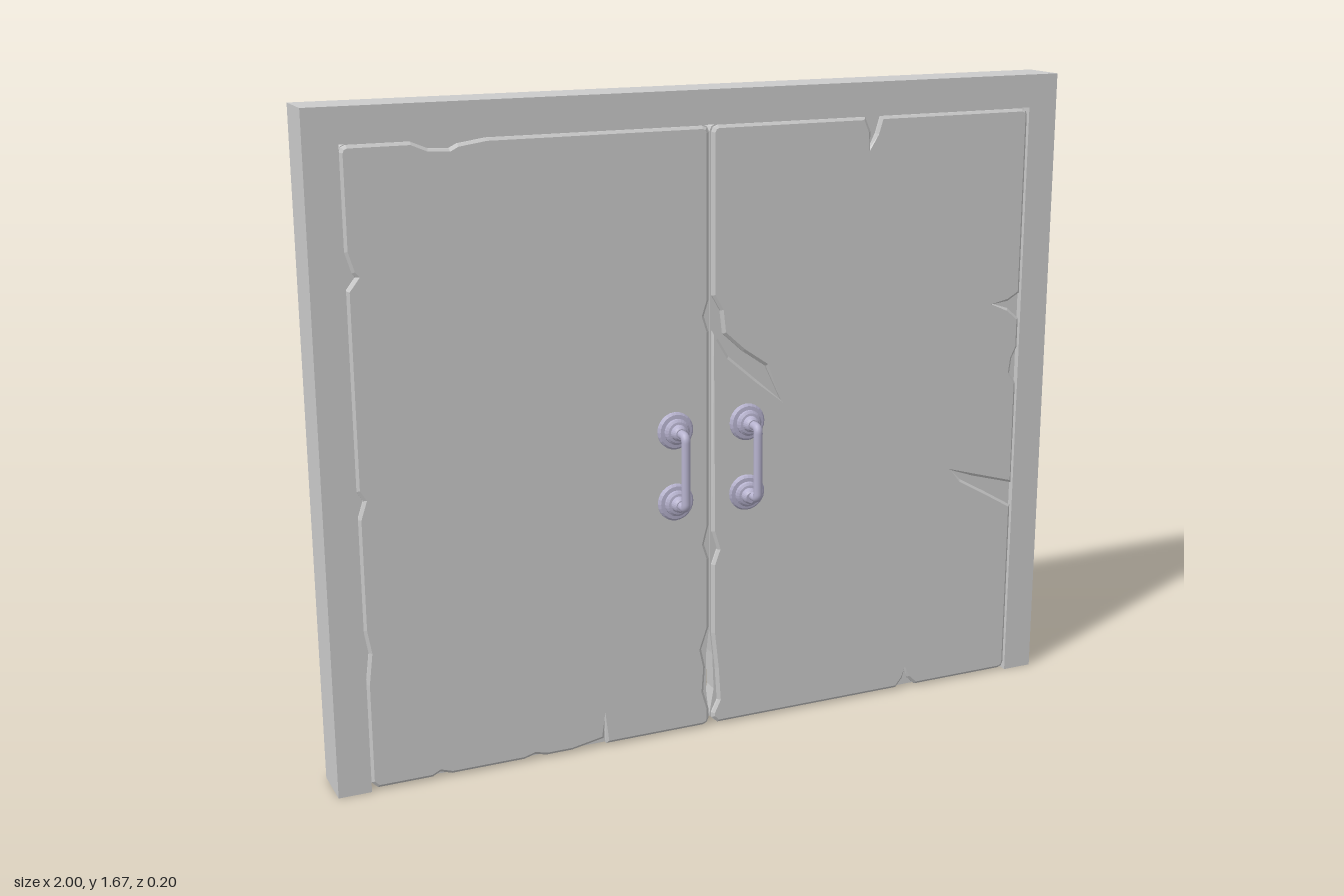
import * as THREE from 'three';

const stone = new THREE.MeshStandardMaterial({ color: 0xcccccc, flatShading: true });
const metal = new THREE.MeshStandardMaterial({ color: 0xb8b4d0 });

function add(parent, name, geometry, material) {
  const mesh = new THREE.Mesh(geometry, material);
  mesh.name = name;
  parent.add(mesh);
  return mesh;
}

// Slab outline, counter-clockwise, with chips cut into each edge
function slabShape(x0, x1, y0, y1, chips = {}, r = 0.016) {
  const s = new THREE.Shape();
  const cut = (edge) => (chips[edge] || []).forEach(([x, y]) => s.lineTo(x, y));
  const corner = (x, y, a) => {
    for (let i = 0; i <= 2; i++) {
      const t = a + i * Math.PI / 4;
      s.lineTo(x + r * Math.cos(t), y + r * Math.sin(t));
    }
  };
  s.moveTo(x0 + r, y0);
  cut('bottom');
  corner(x1 - r, y0 + r, -Math.PI / 2);
  cut('right');
  corner(x1 - r, y1 - r, 0);
  cut('top');
  corner(x0 + r, y1 - r, Math.PI / 2);
  cut('left');
  s.lineTo(x0, y0 + r);
  return s;
}

// Bevelled or plain slab between two depths
function slab(shape, z0, z1, bevel) {
  const b = bevel ? 0.005 : 0;
  const g = new THREE.ExtrudeGeometry(shape, {
    depth: z1 - z0 - 2 * b, bevelEnabled: bevel, bevelThickness: b,
    bevelSize: 0.007, bevelOffset: -0.007, bevelSegments: 1, curveSegments: 4,
  });
  return g.translate(0, 0, z0 + b);
}

// A door is a core between two chipped skins, so that each gouge has a floor
function door(name, x0, x1, core, front, back, hole) {
  const g = new THREE.Group();
  g.name = name;
  const inner = x0 < 0 ? [x0, x1 + 0.004] : [x0 - 0.004, x1];
  add(g, name + 'Core', slab(slabShape(...inner, 0.008, 1.584, core), -0.032, 0.011, false), stone);
  add(g, name + 'FrontSkin', slab(slabShape(x0, x1, 0.006, 1.582, front), 0.003, 0.022, true), stone);
  const backShape = slabShape(x0, x1, 0.006, 1.584, back);
  if (hole) backShape.holes.push(new THREE.Path(hole.map((p) => new THREE.Vector2(...p))));
  add(g, name + 'BackSkin', slab(backShape, -0.041, -0.024, true), stone);
  return g;
}

// Pull handle: two stepped rosettes joined by a bent bar
function handle(name, x, tilt) {
  const g = new THREE.Group();
  g.name = name;
  const profile = [[0, 0], [0.048, 0], [0.048, 0.008], [0.043, 0.012], [0.033, 0.013],
    [0.033, 0.021], [0.027, 0.025], [0.021, 0.026], [0.019, 0.038], [0.014, 0.043], [0, 0.043]];
  const pts = [];
  profile.forEach(([a, b]) => pts.push(new THREE.Vector2(a, b)));
  for (const y of [0.825, 0.637]) {
    const rosette = add(g, 'rosette', new THREE.LatheGeometry(pts, 24).rotateX(Math.PI / 2),
      new THREE.MeshStandardMaterial({ color: 0xb8b4d0, flatShading: true }));
    rosette.position.set(x, y, 0.02);
    if (y < 0.7) rosette.rotation.set(tilt, -tilt, 0);
  }
  const V = (y, z) => new THREE.Vector3(x, y, z);
  const path = new THREE.CurvePath();
  path.add(new THREE.LineCurve3(V(0.825, 0.04), V(0.825, 0.076)));
  path.add(new THREE.QuadraticBezierCurve3(V(0.825, 0.076), V(0.825, 0.09), V(0.811, 0.09)));
  path.add(new THREE.LineCurve3(V(0.811, 0.09), V(0.651, 0.09)));
  path.add(new THREE.QuadraticBezierCurve3(V(0.651, 0.09), V(0.637, 0.09), V(0.637, 0.076)));
  path.add(new THREE.LineCurve3(V(0.637, 0.076), V(0.637, 0.04)));
  add(g, 'bar', new THREE.TubeGeometry(path, 72, 0.0115, 12), metal);
  return g;
}

export function createModel() {
  const model = new THREE.Group();
  model.name = 'doubleDoor';

  // Door frame: one inverted U
  const u = [[-1, 0], [-0.917, 0], [-0.917, 1.585], [0.917, 1.585], [0.917, 0], [1, 0], [1, 1.67], [-1, 1.67]];
  const frame = new THREE.Shape(u.map((p) => new THREE.Vector2(...p)));
  add(model, 'frame', slab(frame, -0.1, 0.025, false), stone);

  // Door on the -x side
  model.add(door('rightDoor', -0.915, -0.005,
    { right: [[-0.001, 0.03], [-0.009, 0.1], [-0.009, 0.2], [-0.001, 0.27]] },
    {
      bottom: [[-0.76, 0.006], [-0.74, 0.016], [-0.71, 0.006], [-0.52, 0.006], [-0.49, 0.014], [-0.46, 0.006],
        [-0.39, 0.006], [-0.302, 0.022], [-0.299, 0.085], [-0.296, 0.006]],
      right: [[-0.005, 0.05], [-0.02, 0.1], [-0.015, 0.17], [-0.026, 0.22], [-0.005, 0.28],
        [-0.005, 0.47], [-0.018, 0.51], [-0.005, 0.56], [-0.005, 1.07], [-0.018, 1.11], [-0.005, 1.15]],
      top: [[-0.57, 1.582], [-0.64, 1.572], [-0.66, 1.562], [-0.71, 1.565], [-0.75, 1.582]],
      left: [[-0.915, 1.34], [-0.9, 1.29], [-0.892, 1.28], [-0.915, 1.25], [-0.915, 0.77], [-0.9, 0.745],
        [-0.915, 0.7], [-0.915, 0.42], [-0.905, 0.36], [-0.915, 0.28]],
    },
    {
      bottom: [[-0.62, 0.006], [-0.58, 0.02], [-0.54, 0.006]],
      right: [[-0.005, 0.05], [-0.02, 0.12], [-0.018, 0.25], [-0.005, 0.32],
        [-0.005, 1.06], [-0.017, 1.1], [-0.005, 1.13]],
    },
    [[-0.105, 1.265], [-0.13, 1.275], [-0.14, 1.24], [-0.165, 1.21], [-0.155, 1.18], [-0.13, 1.2]]));

  // Door on the +x side
  model.add(door('leftDoor', 0.005, 0.915,
    { left: [[0.001, 0.27], [0.009, 0.2], [0.013, 0.1], [0.001, 0.03]] },
    {
      bottom: [[0.565, 0.006], [0.585, 0.03], [0.592, 0.055], [0.6, 0.03], [0.625, 0.006]],
      right: [[0.915, 0.49], [0.83, 0.54], [0.75, 0.585], [0.72, 0.615], [0.79, 0.59], [0.915, 0.555],
        [0.915, 0.84], [0.895, 0.87], [0.9, 0.91], [0.915, 0.94],
        [0.915, 1.02], [0.88, 1.05], [0.835, 1.065], [0.88, 1.07], [0.915, 1.09]],
      top: [[0.475, 1.582], [0.462, 1.54], [0.445, 1.505], [0.446, 1.545], [0.43, 1.582]],
      left: [[0.005, 1.16], [0.028, 1.12], [0.035, 1.06], [0.09, 1.01], [0.155, 0.965], [0.2, 0.87],
        [0.125, 0.935], [0.05, 1.0], [0.02, 1.05], [0.005, 1.07],
        [0.005, 0.54], [0.02, 0.49], [0.005, 0.45], [0.005, 0.26], [0.016, 0.16], [0.022, 0.07], [0.005, 0.035]],
    },
    {
      bottom: [[0.61, 0.006], [0.665, 0.11], [0.72, 0.3], [0.79, 0.5], [0.83, 0.66], [0.9, 0.91],
        [0.865, 0.69], [0.83, 0.52], [0.765, 0.3], [0.705, 0.11], [0.675, 0.006]],
      right: [[0.915, 0.98], [0.8, 1.06], [0.7, 1.125], [0.6, 1.17], [0.75, 1.12], [0.915, 1.045]],
      left: [[0.005, 1.12], [0.016, 1.09], [0.005, 1.05], [0.005, 0.68], [0.018, 0.63], [0.005, 0.58],
        [0.005, 0.3], [0.02, 0.2], [0.018, 0.08], [0.005, 0.04]],
    }));

  // Handles
  model.add(handle('rightHandle', -0.1, 0));
  model.add(handle('leftHandle', 0.1, 0.1));
  return model;
}
